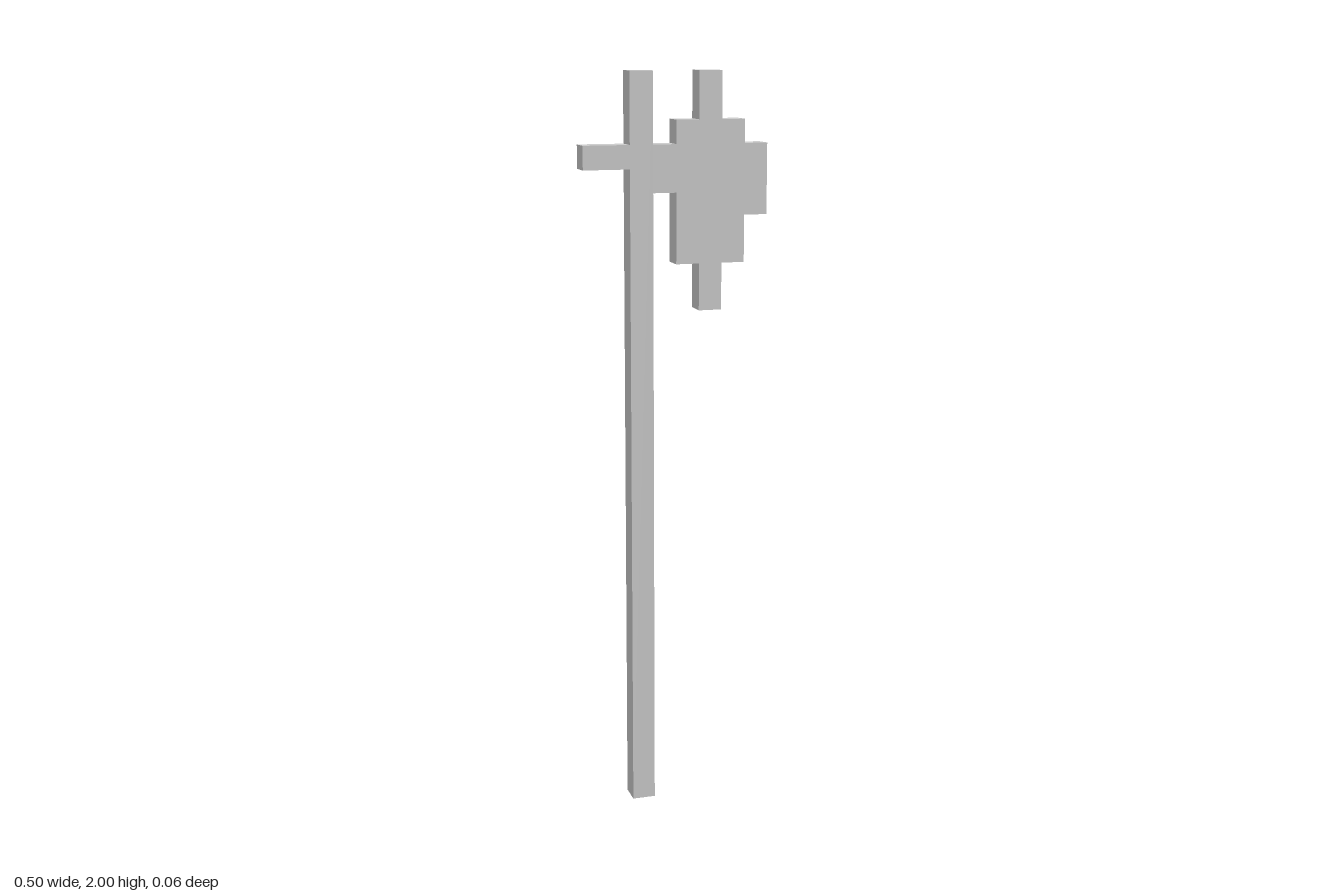
import * as THREE from 'three';

// Everything sits on a grid of 1/16 unit blocks, one block deep
const U = 1 / 16;

export function createModel() {
  const group = new THREE.Group();
  const material = new THREE.MeshStandardMaterial({ color: 0xcccccc, flatShading: true });

  const add = (name, geometry) => {
    const mesh = new THREE.Mesh(geometry, material);
    mesh.name = name;
    group.add(mesh);
  };

  // Box spanning grid columns x0..x1 and rows y0..y1
  const bar = (name, x0, x1, y0, y1) => {
    const geometry = new THREE.BoxGeometry((x1 - x0) * U, (y1 - y0) * U, U);
    geometry.translate((x0 + x1) / 2 * U, (y0 + y1) / 2 * U, 0);
    add(name, geometry);
  };

  // Long shaft and the spike behind it
  bar('shaft', -2, -1, 0, 32);
  bar('backSpike', -4, -2, 28, 29);

  // Axe blade with neck, cutting edge and pointed tips, as one stepped outline
  const outline = [
    [-1, 27], [0, 27], [0, 24], [1, 24], [1, 22], [2, 22], [2, 24], [3, 24],
    [3, 26], [4, 26], [4, 29], [3, 29], [3, 30], [2, 30], [2, 32], [1, 32],
    [1, 30], [0, 30], [0, 29], [-1, 29],
  ];
  const shape = new THREE.Shape(outline.map(([x, y]) => new THREE.Vector2(x * U, y * U)));
  const blade = new THREE.ExtrudeGeometry(shape, { depth: U, bevelEnabled: false });
  blade.translate(0, 0, -U / 2);
  add('axeBlade', blade);

  return group;
}
